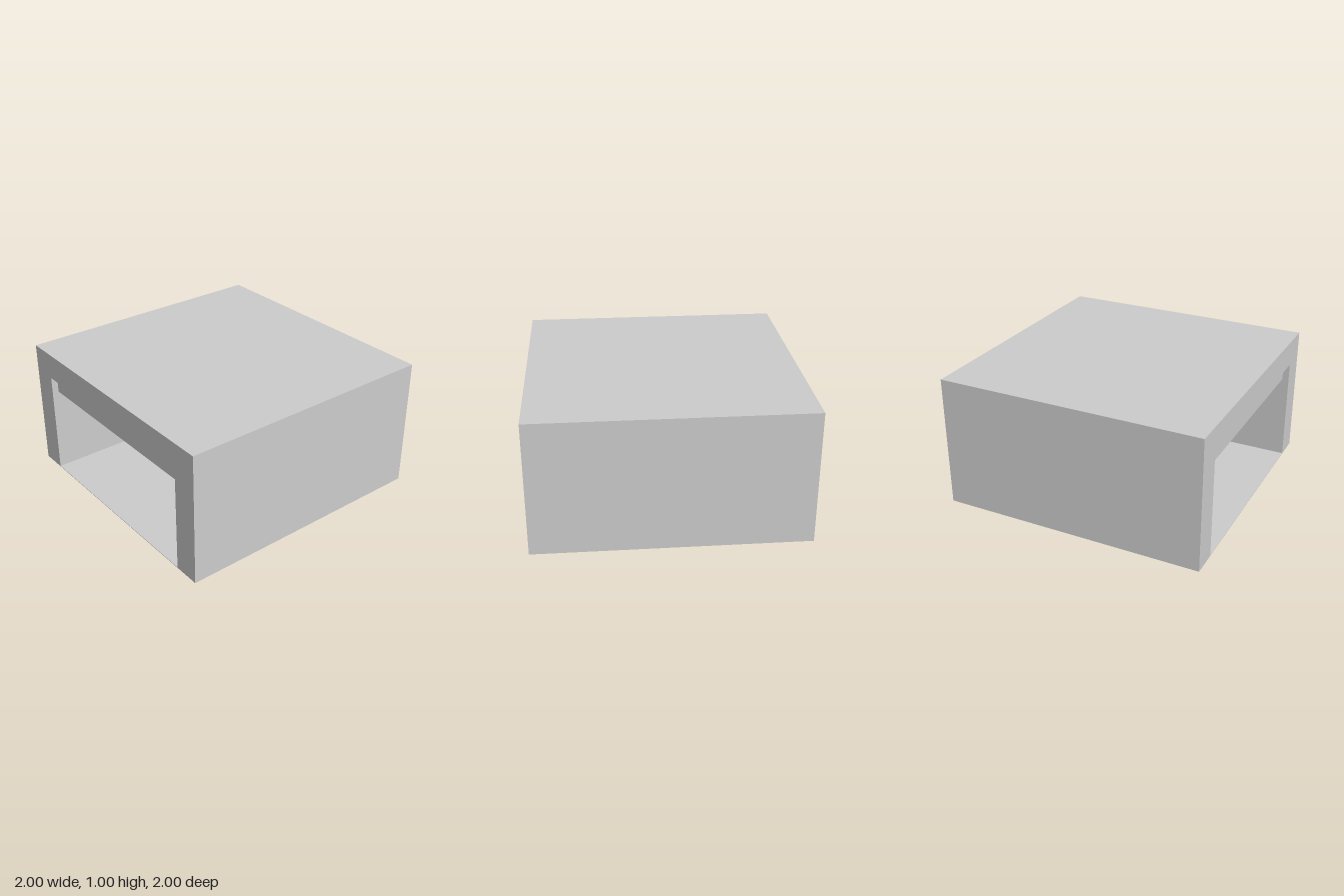
import * as THREE from 'three';

const grey = new THREE.MeshStandardMaterial({ color: 0xcccccc });
grey.name = 'plain grey';
const facetedGrey = grey; // lamp facets come from unshared normals

function add(group, name, geometry, x = 0, y = 0, z = 0) {
  const mesh = new THREE.Mesh(geometry, grey);
  mesh.name = name;
  mesh.position.set(x, y, z);
  group.add(mesh);
  return mesh;
}

export function createModel() {
  const model = new THREE.Group();
  model.name = 'openGarage';

  // Side walls and roof as one arch, open at the front
  const arch = new THREE.Shape([
    [-1, 0], [-0.8, 0], [-0.8, 0.8], [0.8, 0.8], [0.8, 0], [1, 0], [1, 1], [-1, 1],
  ].map(([x, y]) => new THREE.Vector2(x, y)));
  add(model, 'wallsAndRoof', new THREE.ExtrudeGeometry(arch, { depth: 1.8, bevelEnabled: false }), 0, 0, -0.8);
  add(model, 'backWall', new THREE.BoxGeometry(2, 1, 0.2), 0, 0.5, -0.9);

  // Floor slab, and the lowered ceiling set back behind the opening
  add(model, 'floor', new THREE.BoxGeometry(1.6, 0.004, 1.8), 0, 0.002, 0.1);
  add(model, 'ceiling', new THREE.BoxGeometry(1.6, 0.133, 1.75), 0, 0.7335, 0.075);

  // Faceted lamp hanging from the ceiling
  const profile = [[0, 0.533], [0.03, 0.547], [0.04, 0.6], [0.022, 0.645], [0, 0.668]]
    .map(([r, y]) => new THREE.Vector2(r, y));
  const lampGeometry = new THREE.LatheGeometry(profile, 6).toNonIndexed();
  lampGeometry.computeVertexNormals();
  const lamp = add(model, 'hangingLamp', lampGeometry, -0.006, 0, 0);
  lamp.material = facetedGrey;
  lamp.rotation.y = 0.3;

  // Slim slanted bars on the back wall
  [
    [-0.47, 0.476, -0.235, 0.551],
    [-0.34, 0.385, -0.075, 0.436],
    [-0.11, 0.551, 0.385, 0.513],
    [-0.03, 0.436, 0.377, 0.388],
  ].forEach(([x1, y1, x2, y2], i) => {
    const length = Math.hypot(x2 - x1, y2 - y1);
    const bar = add(model, `wallBar${i + 1}`, new THREE.BoxGeometry(length, 0.011, 0.02),
      (x1 + x2) / 2, (y1 + y2) / 2, -0.79);
    bar.rotation.z = Math.atan2(y2 - y1, x2 - x1);
  });

  return model;
}
